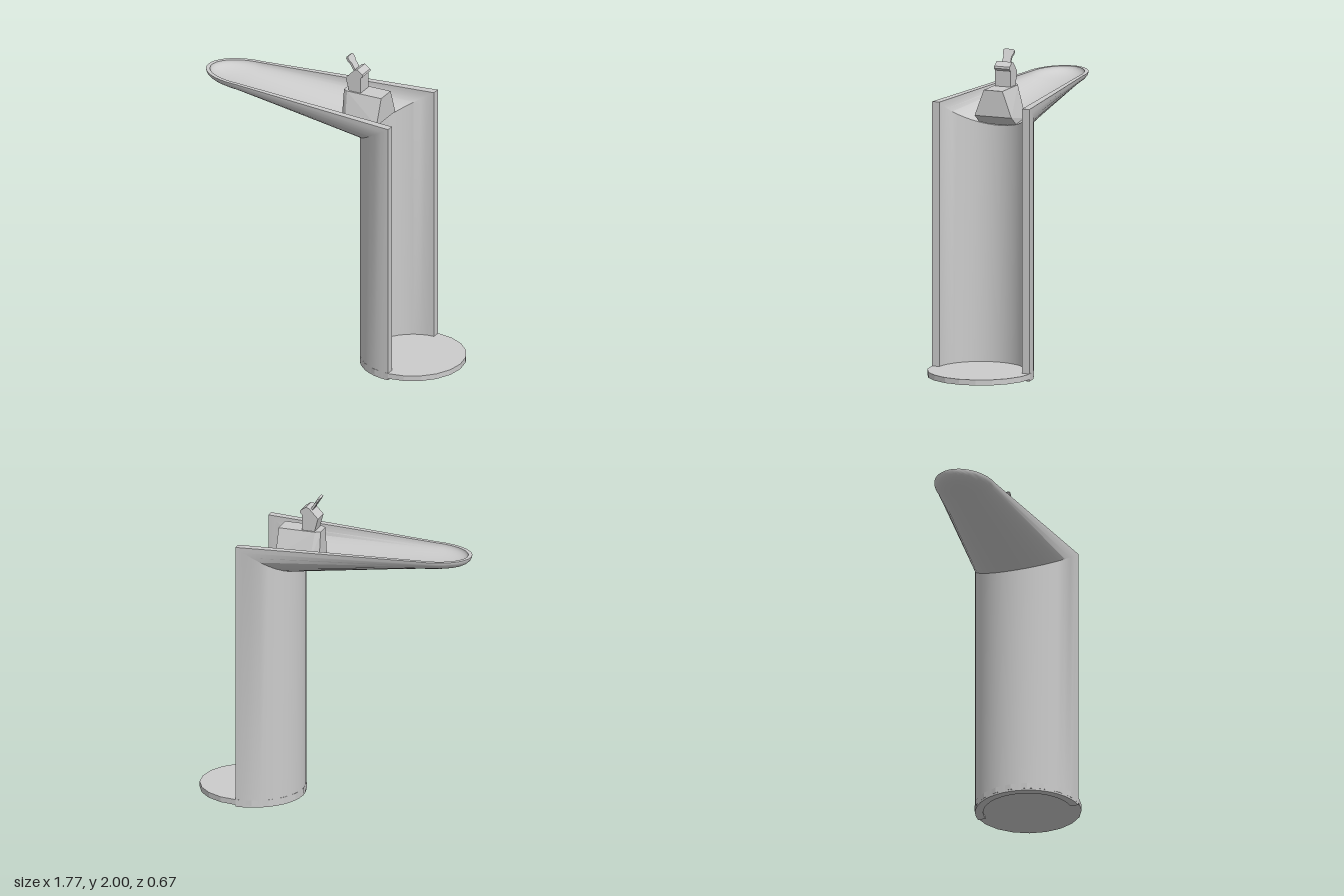
import * as THREE from 'three';
import { toCreasedNormals } from 'three/addons/utils/BufferGeometryUtils.js';
import { ConvexGeometry } from 'three/addons/geometries/ConvexGeometry.js';

const SEG = 20;   // segments around each half section
const TOP = 1.72; // height of the spout rim
const CX = 0.55;  // axis of the column and base

const material = new THREE.MeshStandardMaterial({ color: 0xcccccc });
const flatMaterial = new THREE.MeshStandardMaterial({ color: 0xcccccc, flatShading: true });

// Half arc bulging to -x by rx and downwards by d, with half width w
function halfArc({ x, y, rx, d, w }) {
  return Array.from({ length: SEG + 1 }, (_, i) => {
    const a = (i / SEG - 0.5) * Math.PI;
    return [x - rx * Math.cos(a), y - d * Math.cos(a), w * Math.sin(a)];
  });
}

// Loft a thick open shell through [outer, inner] pairs of arcs
function loftShell(sections) {
  const rings = sections.map(([outer, inner]) => [...halfArc(outer), ...halfArc(inner).reverse()]);
  const n = rings[0].length;
  const index = [];
  for (let s = 0; s < rings.length - 1; s++) {
    for (let i = 0; i < n; i++) {
      const j = (i + 1) % n;
      const a = s * n + i, b = s * n + j, c = a + n, e = b + n;
      index.push(a, b, e, a, e, c);
    }
  }
  // Foot of the shell
  for (let i = 0; i < SEG; i++) {
    const p = n - 1 - i;
    index.push(i, p, p - 1, i, p - 1, i + 1);
  }
  const geometry = new THREE.BufferGeometry();
  geometry.setAttribute('position', new THREE.Float32BufferAttribute(rings.flat(2), 3));
  geometry.setIndex(index);
  return toCreasedNormals(geometry, 0.6);
}

// Extrude an x/y outline symmetrically across z
function plate(points, depth) {
  const shape = new THREE.Shape(points.map(([x, y]) => new THREE.Vector2(x, y)));
  return new THREE.ExtrudeGeometry(shape, { depth, bevelEnabled: false }).translate(0, 0, -depth / 2);
}

export function createModel() {
  const model = new THREE.Group();
  const add = (name, geometry, mat = material) => {
    const mesh = new THREE.Mesh(geometry, mat);
    mesh.name = name;
    model.add(mesh);
    return mesh;
  };

  // Half-tube column, mitred into the open spout
  const sections = [
    [{ x: CX, y: 0, rx: 0.33, d: 0, w: 0.33 }, { x: CX, y: 0, rx: 0.28, d: 0, w: 0.28 }],
    [{ x: CX, y: TOP, rx: 0.33, d: 0.21, w: 0.33 }, { x: CX, y: TOP, rx: 0.28, d: 0.175, w: 0.28 }],
  ];
  // Tapering spout with a rounded tip
  for (const u of [0, 0.2, 0.4, 0.56, 0.7, 0.81, 0.9, 0.96, 0.99, 1]) {
    const round = Math.sqrt(1 - u * u);
    const drop = Math.sqrt(1 - u ** 6);
    sections.push([
      { x: -0.6 - 0.287 * u, y: TOP, rx: 0, d: (0.09 - 0.03 * u) * drop, w: 0.19 * round },
      { x: -0.6 - 0.262 * u, y: TOP, rx: 0, d: (0.068 - 0.025 * u) * drop, w: 0.165 * round },
    ]);
  }
  add('columnAndSpout', loftShell(sections));

  // Base disc
  const base = add('baseDisc', new THREE.CylinderGeometry(0.333, 0.333, 0.035, 20), flatMaterial);
  base.position.set(CX, 0.03, 0);

  // Tapered block seated in the spout
  const corners = [];
  for (const side of [-1, 1]) {
    for (const [x, y, z] of [
      [0.36, 1.78, 0.063], [0.12, 1.78, 0.063], [0.09, 1.78, 0.045],
      [0.36, 1.615, 0.125], [0.27, 1.55, 0.125], [0.14, 1.58, 0.125], [0.09, 1.58, 0.075],
    ]) corners.push(new THREE.Vector3(x, y, side * z));
  }
  add('handleMount', new ConvexGeometry(corners), flatMaterial);

  // Angled handle body
  add('handleBody', plate([
    [0.13, 1.77], [0.21, 1.77], [0.21, 1.88], [0.225, 1.895], [0.222, 1.908],
    [0.185, 1.934], [0.165, 1.928], [0.105, 1.865],
  ], 0.104), flatMaterial);

  // Flared lever, drawn flat and tilted back
  const leverShape = new THREE.Shape([
    [-0.028, 0], [0.028, 0], [0.028, 0.075], [0.037, 0.095], [0.037, 0.115],
    [0.028, 0.122], [-0.028, 0.122], [-0.037, 0.115], [-0.037, 0.095], [-0.028, 0.075],
  ].map(([x, y]) => new THREE.Vector2(x, y)));
  const lever = new THREE.ExtrudeGeometry(leverShape, { depth: 0.014, bevelEnabled: false })
    .translate(0, 0, -0.007).rotateY(Math.PI / 2).rotateZ(0.56).translate(0.168, 1.894, 0);
  add('lever', lever, flatMaterial);

  return model;
}
